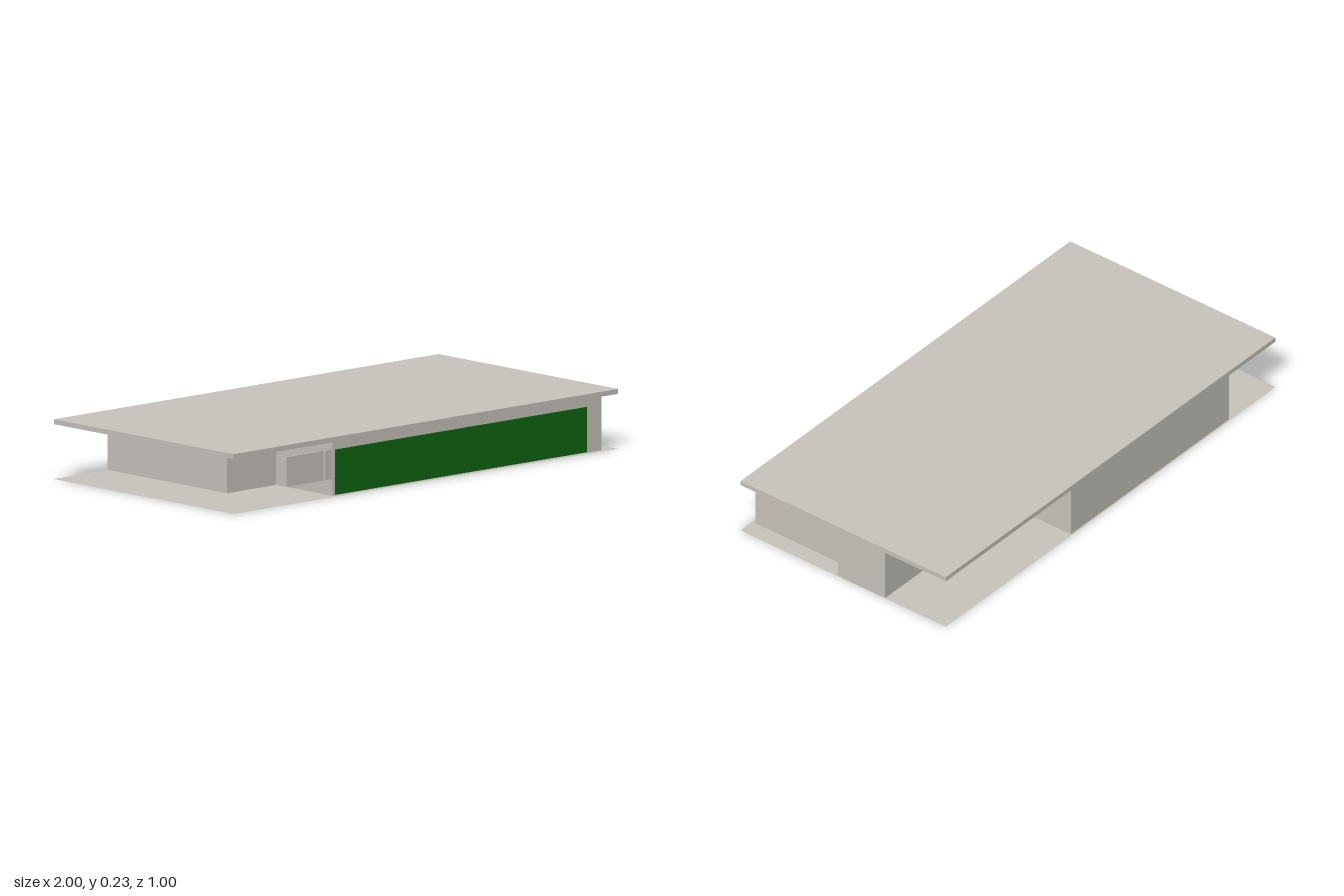
import * as THREE from 'three';

const WALL_TOP = 0.212;

export function createModel() {
  const model = new THREE.Group();
  model.name = 'flatRoofPavilion';

  const concrete = new THREE.MeshStandardMaterial({ color: 0xc9c5be });
  concrete.name = 'warm grey concrete';
  const concreteSheet = new THREE.MeshStandardMaterial({ color: 0xc9c5be, side: THREE.DoubleSide });
  concreteSheet.name = 'warm grey concrete sheet';
  const green = new THREE.MeshStandardMaterial({ color: 0x0e660f });
  green.name = 'dark green';

  const add = (name, geometry, material) => {
    const mesh = new THREE.Mesh(geometry, material);
    mesh.name = name;
    model.add(mesh);
    return mesh;
  };

  // Box given by its limits on each axis
  const box = (name, [x0, x1], [y0, y1], [z0, z1], material) =>
    add(name, new THREE.BoxGeometry(x1 - x0, y1 - y0, z1 - z0), material)
      .position.set((x0 + x1) / 2, (y0 + y1) / 2, (z0 + z1) / 2);

  // Ground sheet and overhanging roof slab
  add('groundSheet', new THREE.PlaneGeometry(2, 1).rotateX(-Math.PI / 2), concreteSheet);
  box('roofSlab', [-1, 1], [WALL_TOP, 0.231], [-0.5, 0.5], concrete);

  // Stepped wall footprint, as x and z pairs
  const footprint = [
    [-0.725, 0.17], [-0.47, 0.17], [-0.47, 0.482], [0.93, 0.482], [0.93, 0.025],
    [1, 0.025], [1, -0.205], [0.235, -0.205], [0.235, -0.495], [-0.725, -0.495],
  ];
  const shape = new THREE.Shape(footprint.map(([x, z]) => new THREE.Vector2(x, -z)));
  const walls = new THREE.ExtrudeGeometry(shape, { depth: WALL_TOP - 0.001, bevelEnabled: false });
  walls.rotateX(-Math.PI / 2);
  add('walls', walls, concrete).position.y = 0.001;

  // Green front panel
  box('greenFrontPanel', [-0.457, 0.85], [0.004, 0.178], [0.481, 0.487], green);

  // Raised screen panels in front of the recessed corner
  for (const [name, x0, x1] of [['wideScreen', -0.705, -0.513], ['narrowScreen', -0.507, -0.457]]) {
    box(name, [x0, x1], [0.065, 0.18], [0.474, 0.48], concrete);
  }

  return model;
}
